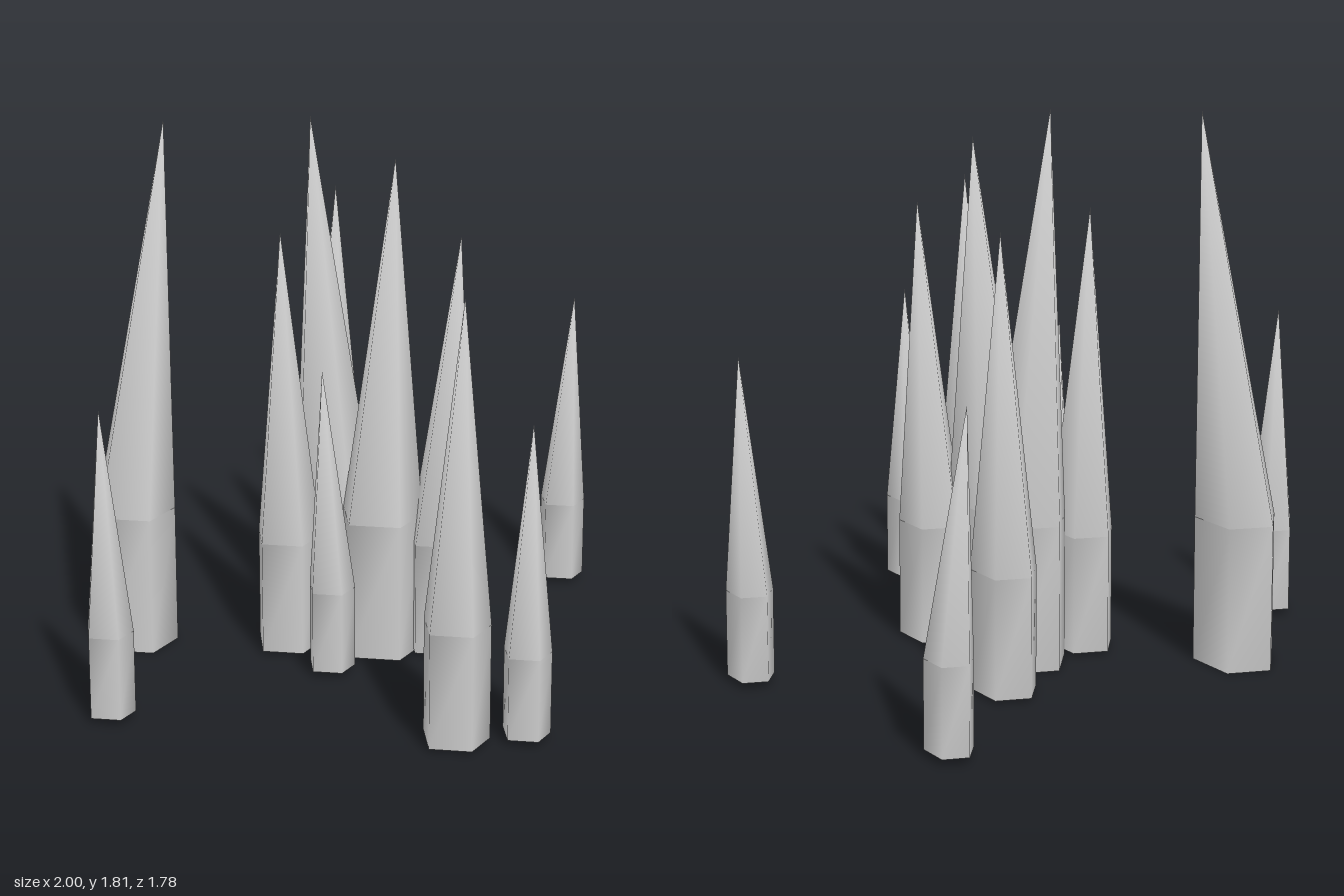
import * as THREE from 'three';

const material = new THREE.MeshStandardMaterial({ color: 0xcccccc });

// Slightly irregular five-sided outline, as angles in degrees from +x towards +z
const ANGLES = [-93, -32, 53, 115, 188].map(THREE.MathUtils.degToRad);

// Three sizes: outline radius, foot height, shoulder height
const SIZES = {
  small: { r: 0.082, foot: 0.02, shoulder: 0.30 },
  medium: { r: 0.115, foot: 0.01, shoulder: 0.40 },
  large: { r: 0.145, foot: 0, shoulder: 0.48 },
};

// Each spike: size, base centre x, z, then tip x, y, z
const SPIKES = [
  ['small', -0.925, -0.35, -0.95, 1.06, -0.34],
  ['small', 0.92, -0.81, 0.87, 1.06, -0.83],
  ['small', 0.92, 0.17, 0.93, 1.06, 0.2],
  ['small', -0.215, 0, -0.24, 1.06, -0.01],
  ['small', -0.26, 0.81, -0.25, 1.06, 0.815],
  ['medium', 0.39, -0.455, 0.4, 1.47, -0.44],
  ['medium', -0.135, -0.245, -0.167, 1.47, -0.235],
  ['medium', 0.16, 0.175, 0.15, 1.47, 0.26],
  ['medium', -0.41, 0.64, -0.395, 1.47, 0.655],
  ['large', 0.11, -0.245, 0.035, 1.81, -0.265],
  ['large', 0.045, 0.01, 0.11, 1.7, 0.025],
  ['large', -0.405, -0.695, -0.285, 1.81, -0.62],
];

function ring(r, x, y, z) {
  return ANGLES.map((a) => [x + r * Math.cos(a), y, z + r * Math.sin(a)]);
}

// Shared vertices give smooth normals within one part
function makeMesh(name, points, index) {
  const geometry = new THREE.BufferGeometry();
  geometry.setAttribute('position', new THREE.Float32BufferAttribute(points.flat(), 3));
  geometry.setIndex(index);
  geometry.computeVertexNormals();
  const mesh = new THREE.Mesh(geometry, material);
  mesh.name = name;
  return mesh;
}

function makeSpike([size, x, z, tipX, tipY, tipZ]) {
  const { r, foot, shoulder } = SIZES[size];
  const n = ANGLES.length;
  const lower = ring(r, x, foot, z);
  const upper = ring(r, x, shoulder, z);
  const shaft = [], fan = [], cap = [];
  for (let i = 0; i < n; i++) {
    const j = (i + 1) % n;
    shaft.push(i, n + i, j, n + i, n + j, j);
    fan.push(i, n, j);
    cap.push(n, i, j);
  }
  const spike = new THREE.Group();
  spike.name = size + 'Spike';
  spike.add(
    makeMesh('shaft', [...lower, ...upper], shaft),
    makeMesh('point', [...upper, [tipX, tipY, tipZ]], fan),
    makeMesh('underside', [...lower, [x, foot, z]], cap),
  );
  return spike;
}

export function createModel() {
  const group = new THREE.Group();
  group.name = 'spikeCluster';
  SPIKES.forEach((spec) => group.add(makeSpike(spec)));
  return group;
}
